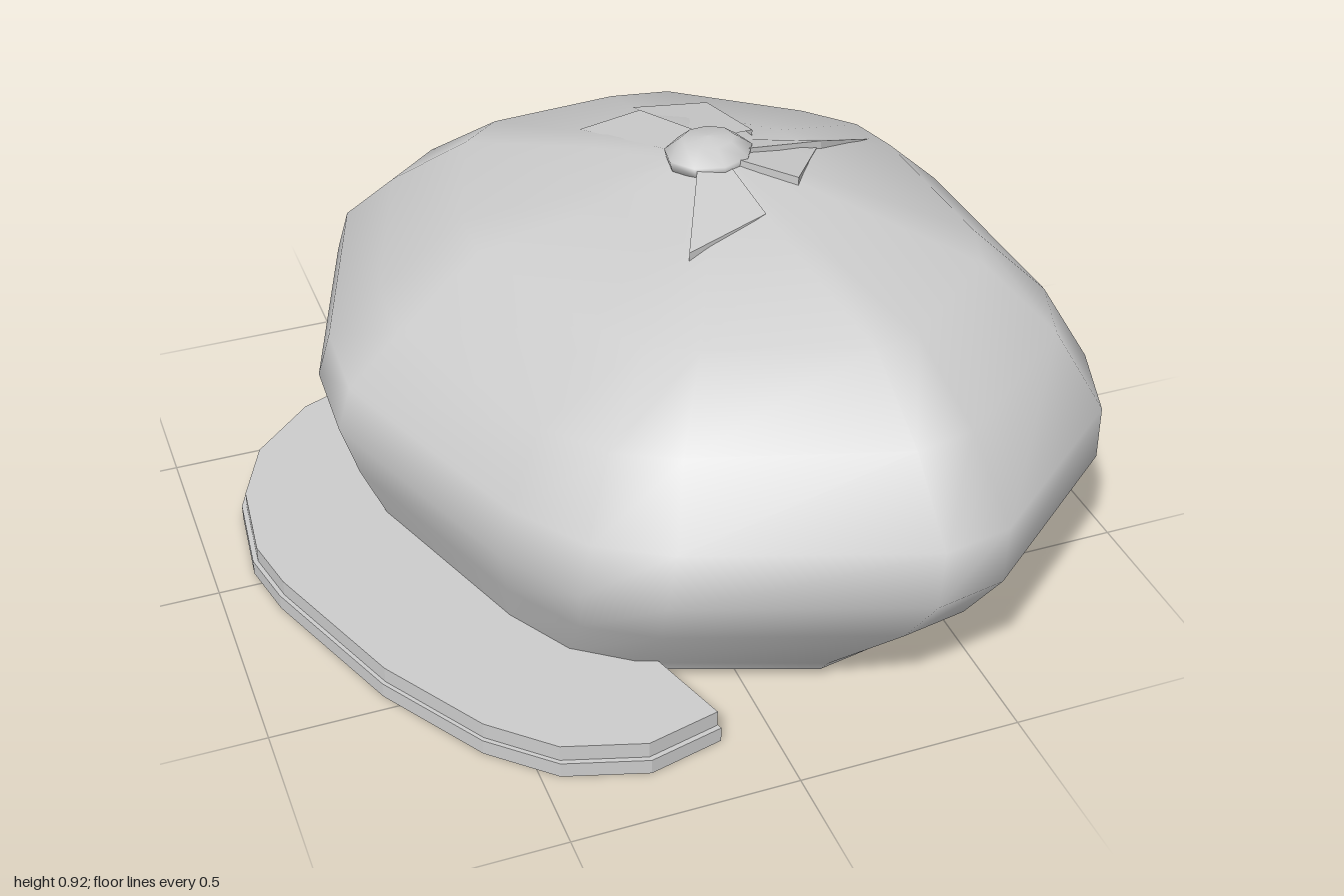
import * as THREE from 'three';

const felt = new THREE.MeshStandardMaterial({ color: 0xcccccc, side: THREE.DoubleSide });
felt.name = 'grey felt';

// Plan of the crown at its widest
const plan = [
  [0.14, -1], [0.35, -0.95], [0.73, -0.55], [0.86, -0.36], [0.9, -0.17], [0.91, 0.45],
  [0.84, 0.65], [0.45, 0.96], [0.29, 0.99], [-0.22, 0.8], [-0.37, 0.69], [-0.48, 0.5],
  [-0.68, -0.07], [-0.67, -0.3], [-0.49, -0.83], [-0.34, -0.95],
].map(([x, z]) => [(x - 0.115) / 0.795, z]);

// Fits the plan between x0..x1 and z0..z1, with its own height on each side
function ring([x0, x1, z0, z1, yRight, yLeft, yFront, yBack]) {
  return plan.map(([u, v]) => {
    const c = (u * u) / (u * u + v * v);
    const y = c * (u > 0 ? yLeft : yRight) + (1 - c) * (v > 0 ? yFront : yBack);
    return [(x0 + x1) / 2 + (u * (x1 - x0)) / 2, y, (z0 + z1) / 2 + (v * (z1 - z0)) / 2];
  });
}

function loft(name, rings, apex) {
  const n = plan.length, index = [];
  const points = rings.flatMap(ring);
  for (let j = 0; j < rings.length - 1; j++) {
    for (let i = 0; i < n; i++) {
      const k = (i + 1) % n, a = j * n + i, b = j * n + k;
      index.push(a, a + n, b, b, a + n, b + n);
    }
  }
  if (apex) {
    const top = points.push(apex) - 1, base = top - n;
    for (let i = 0; i < n; i++) index.push(base + i, top, base + ((i + 1) % n));
  }
  const geo = new THREE.BufferGeometry();
  geo.setAttribute('position', new THREE.Float32BufferAttribute(points.flat(), 3));
  geo.setIndex(index);
  geo.computeVertexNormals();
  const mesh = new THREE.Mesh(geo, felt);
  mesh.name = name;
  return mesh;
}

// One layer of the visor
function visorLayer(name, outline, y, height) {
  const shape = new THREE.Shape(outline.map(([x, z]) => new THREE.Vector2(x, -z)));
  const geo = new THREE.ExtrudeGeometry(shape, { depth: height, bevelEnabled: false });
  geo.rotateX(-Math.PI / 2).translate(0, y, 0);
  const mesh = new THREE.Mesh(geo, felt);
  mesh.name = name;
  return mesh;
}

export function createModel() {
  const cap = new THREE.Group();
  cap.name = 'cap';

  // Puffed crown, open below
  const crown = loft('crown', [
    [-0.57, 0.63, -0.74, 0.74, 0.03, 0.03, 0.03, 0.03],
    [-0.58, 0.65, -0.78, 0.76, 0.06, 0.06, 0.06, 0.06],
    [-0.64, 0.83, -0.94, 0.93, 0.2, 0.24, 0.25, 0.18],
    [-0.68, 0.91, -1, 1, 0.33, 0.37, 0.37, 0.32],
    [-0.65, 0.91, -0.98, 0.99, 0.44, 0.49, 0.5, 0.43],
    [-0.53, 0.83, -0.85, 0.84, 0.56, 0.64, 0.65, 0.58],
    [-0.34, 0.69, -0.68, 0.65, 0.73, 0.77, 0.78, 0.71],
    [-0.05, 0.42, -0.35, 0.3, 0.8, 0.86, 0.845, 0.81],
    [0.12, 0.28, -0.14, 0.02, 0.86, 0.88, 0.88, 0.86],
  ], [0.2, 0.885, -0.06]);
  cap.add(crown);

  // Band turned in around the opening
  cap.add(loft('innerBand', [
    [-0.54, 0.6, -0.71, 0.71, 0.1, 0.1, 0.1, 0.1],
    [-0.54, 0.6, -0.71, 0.71, 0.03, 0.03, 0.03, 0.03],
    [-0.57, 0.63, -0.74, 0.74, 0.03, 0.03, 0.03, 0.03],
  ]));

  // Gathered pleats: each flap is flush at its first edge and lifted at its second
  const ray = new THREE.Raycaster();
  const onCrown = ([x, z], lift) => {
    ray.set(new THREE.Vector3(x, 2, z), new THREE.Vector3(0, -1, 0));
    const hit = ray.intersectObject(crown)[0];
    return [x, (hit ? hit.point.y : 0.85) + lift, z];
  };
  const pleats = [
    [[0.13, -0.14], [0.02, -0.42], [0.17, -0.42], [0.23, -0.14]],
    [[0.22, -0.15], [0.19, -0.52], [0.34, -0.42], [0.33, -0.12]],
    [[0.28, -0.1], [0.64, -0.15], [0.47, -0.05], [0.28, -0.02]],
    [[0.28, -0.04], [0.46, -0.05], [0.34, 0.12], [0.24, 0.02]],
    [[0.22, 0.02], [0.23, 0.2], [0.03, 0.26], [0.15, 0]],
  ];
  for (const [a, b, c, d] of pleats) {
    const A = onCrown(a, 0.002), B = onCrown(b, 0.002);
    const C = onCrown(c, 0.02), D = onCrown(d, 0.015);
    const C0 = onCrown(c, -0.005), D0 = onCrown(d, -0.005);
    const faces = [A, B, C, A, C, D, D, C, C0, D, C0, D0, B, C0, C];
    const geo = new THREE.BufferGeometry();
    geo.setAttribute('position', new THREE.Float32BufferAttribute(faces.flat(), 3));
    // Wind clockwise pleats the other way so the top faces up
    const cross = (b[0] - a[0]) * (c[1] - a[1]) - (b[1] - a[1]) * (c[0] - a[0]);
    const order = faces.map((_, i) => i);
    if (cross > 0) order.reverse();
    geo.setIndex(order);
    const flat = geo.toNonIndexed();
    flat.computeVertexNormals();
    const pleat = new THREE.Mesh(flat, felt);
    pleat.name = 'pleat';
    cap.add(pleat);
  }

  // Button on top
  const profile = [[0, 0.045], [0.06, 0.04], [0.1, 0.01], [0.095, -0.015], [0.06, -0.03]]
    .reverse().map(([r, y]) => new THREE.Vector2(r, y));
  const button = new THREE.Mesh(new THREE.LatheGeometry(profile, 9), felt);
  button.name = 'button';
  button.position.set(0.2, 0.875, -0.06);
  button.rotation.set(-0.08, 0, 0.04);
  cap.add(button);

  // Stiff two-layer visor
  const visor = [
    [-0.57, -0.59], [-0.67, -0.55], [-0.82, -0.41], [-0.89, -0.25], [-0.91, -0.04], [-0.88, 0.1],
    [-0.74, 0.46], [-0.59, 0.7], [-0.46, 0.82], [-0.28, 0.875], [-0.11, 0.835],
  ];
  const inset = visor.map(([x, z]) => [-0.35 + (x + 0.35) * 0.98, 0.12 + (z - 0.12) * 0.985]);
  cap.add(visorLayer('visorBase', visor, 0, 0.036));
  cap.add(visorLayer('visorTop', inset, 0.036, 0.038));
  return cap;
}
